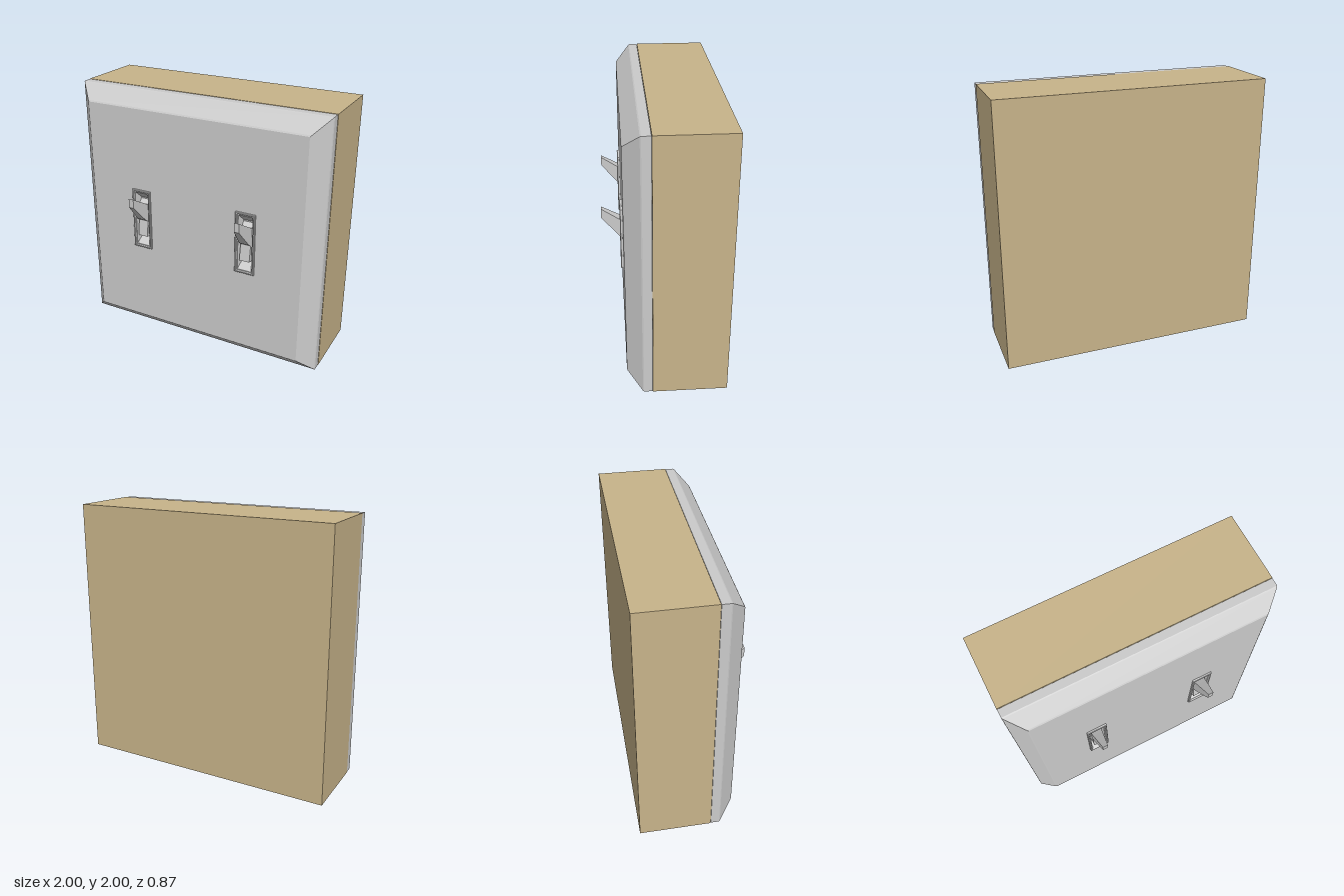
import * as THREE from 'three';

const grey = new THREE.MeshStandardMaterial({ color: 0xcccccc });
const tan = new THREE.MeshStandardMaterial({ color: 0xc8b48a });

// Skins rectangular rings [halfWidth, yBottom, yTop, z], closing the last one if asked
function loft(rings, cap = true) {
  const pos = [];
  const corners = ([w, b, t, z]) => [[-w, b, z], [w, b, z], [w, t, z], [-w, t, z]];
  const quad = (a, b, c, d) => pos.push(...a, ...b, ...c, ...a, ...c, ...d);
  for (let i = 0; i < rings.length - 1; i++) {
    const p = corners(rings[i]), q = corners(rings[i + 1]);
    for (let k = 0; k < 4; k++) {
      const n = (k + 1) % 4;
      quad(p[k], p[n], q[n], q[k]);
    }
  }
  if (cap) quad(...corners(rings[rings.length - 1]));
  const g = new THREE.BufferGeometry();
  g.setAttribute('position', new THREE.Float32BufferAttribute(pos, 3));
  g.computeVertexNormals();
  return g;
}

function part(name, geometry, material = grey) {
  const mesh = new THREE.Mesh(geometry, material);
  mesh.name = name;
  return mesh;
}

function rectPath(path, x, w, b, t) {
  path.moveTo(x - w, b);
  path.lineTo(x + w, b);
  path.lineTo(x + w, t);
  path.lineTo(x - w, t);
  path.closePath();
  return path;
}

const SWITCH_X = 0.44;

function createSwitch(name) {
  const g = new THREE.Group();
  g.name = name;

  // Raised rim that steps inward and funnels down to the recess floor
  g.add(part('bezel', loft([
    [0.078, 0.76, 1.245, 0.285],
    [0.078, 0.76, 1.245, 0.301],
    [0.074, 0.764, 1.241, 0.305],
    [0.066, 0.772, 1.233, 0.305],
    [0.062, 0.776, 1.229, 0.294],
    [0.056, 0.782, 1.223, 0.294],
    [0.042, 0.84, 1.165, 0.235],
  ])));

  // Rocker base seated in the recess: (z, y) profile extruded across x
  const profile = new THREE.Shape([
    [-0.23, 0.85], [-0.298, 0.86], [-0.278, 1.005], [-0.278, 1.11], [-0.23, 1.16],
  ].map(([z, y]) => new THREE.Vector2(z, y)));
  const rocker = new THREE.ExtrudeGeometry(profile, { depth: 0.08, bevelEnabled: false });
  rocker.translate(0, 0, -0.04).rotateY(Math.PI / 2);
  g.add(part('rockerBase', rocker));

  // Tapered lever pointing up
  g.add(part('lever', loft([
    [0.042, 0.985, 1.13, 0.275],
    [0.038, 1.005, 1.147, 0.305],
    [0.02, 1.155, 1.226, 0.436],
  ])));
  return g;
}

export function createModel() {
  const model = new THREE.Group();
  model.name = 'doubleSwitch';

  // Wall block
  const wall = part('wallBlock', new THREE.BoxGeometry(2, 2, 0.54), tan);
  wall.position.set(0, 1, -0.165);
  model.add(wall);

  // Cover plate: straight edge, wide chamfer, slightly softened front edge
  const plate = new THREE.Group();
  plate.name = 'coverPlate';
  const ring = (h, z) => [h, 1 - h, 1 + h, z];
  plate.add(part('plateEdge', loft([
    ring(0.99, 0.105), ring(0.998, 0.108), ring(0.998, 0.17), ring(0.994, 0.178),
    ring(0.89, 0.282), ring(0.88, 0.288),
  ], false)));
  const face = rectPath(new THREE.Shape(), 0, 0.88, 0.12, 1.88);
  for (const s of [-1, 1]) face.holes.push(rectPath(new THREE.Path(), s * SWITCH_X, 0.07, 0.768, 1.237));
  const front = part('plateFace', new THREE.ShapeGeometry(face));
  front.position.z = 0.288;
  plate.add(front);
  model.add(plate);

  // Two matching toggle switches
  for (const [name, s] of [['leftSwitch', 1], ['rightSwitch', -1]]) {
    const sw = createSwitch(name);
    sw.position.x = s * SWITCH_X;
    model.add(sw);
  }
  return model;
}
